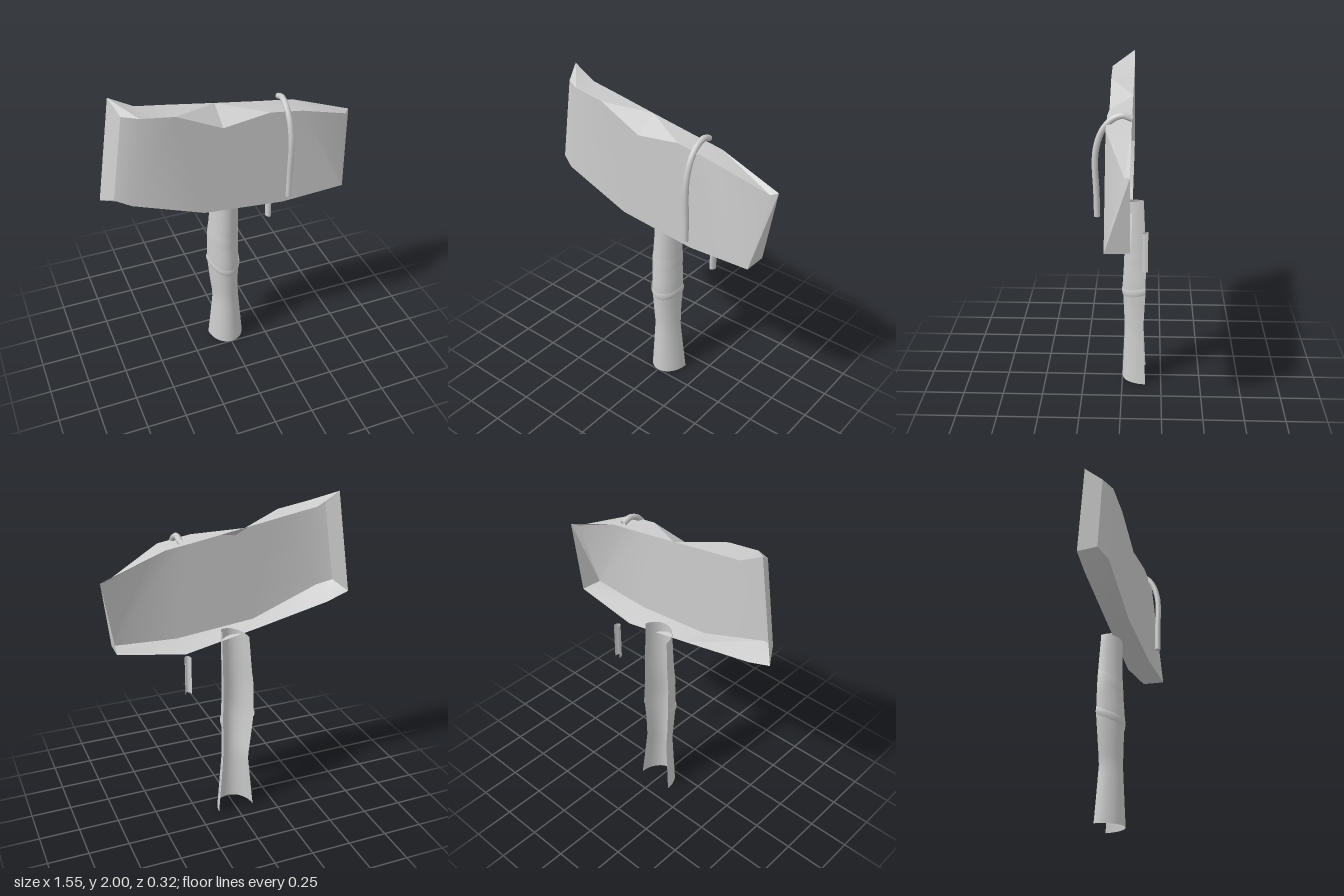
import * as THREE from 'three';
import { toCreasedNormals } from 'three/addons/utils/BufferGeometryUtils.js';

const material = new THREE.MeshStandardMaterial({ color: 0xcccccc, side: THREE.DoubleSide });

function addMesh(parent, name, geometry) {
  const mesh = new THREE.Mesh(geometry, material);
  mesh.name = name;
  parent.add(mesh);
  return mesh;
}

// Surface over a grid: u across (columns), v up (rows)
function gridSurface(cols, rows, point) {
  const pos = [], idx = [];
  for (let j = 0; j <= rows; j++)
    for (let i = 0; i <= cols; i++) pos.push(...point(i / cols, j / rows));
  for (let j = 0; j < rows; j++)
    for (let i = 0; i < cols; i++) {
      const a = j * (cols + 1) + i, b = a + 1, c = a + cols + 1, d = c + 1;
      idx.push(a, b, d, a, d, c);
    }
  const g = new THREE.BufferGeometry();
  g.setAttribute('position', new THREE.Float32BufferAttribute(pos, 3));
  g.setIndex(idx);
  g.computeVertexNormals();
  return g;
}

// Board: chipped front face and bevelled rim, hollow behind
function boardGeometry() {
  const back = -0.06;
  // front x, y, z, then rear x, y; clockwise from the top left corner
  const rim = [
    [-0.64, 1.93, 0.04, -0.68, 2.0],
    [-0.55, 1.92, 0.08, -0.54, 1.92],
    [-0.35, 1.89, 0.08, -0.35, 1.89],
    [-0.08, 1.76, 0.08, -0.08, 1.845],
    [0.2, 1.8, 0.08, 0.2, 1.8],
    [0.4, 1.77, 0.08, 0.4, 1.77],
    [0.74, 1.62, -0.03, 0.775, 1.63],
    [0.7, 1.18, 0.08, 0.705, 1.185],
    [0.3, 1.16, 0.08, 0.29, 1.115],
    [-0.2, 1.21, 0.08, -0.18, 1.21],
    [-0.63, 1.375, 0.08, -0.64, 1.31],
    [-0.72, 1.41, 0.04, -0.78, 1.36],
  ];
  const n = rim.length;
  const pos = [
    ...rim.flatMap(([x, y, z]) => [x, y, z]),
    ...rim.flatMap((p) => [p[3], p[4], back]),
  ];
  // front face
  const idx = [
    0, 11, 10, 0, 10, 1, 1, 10, 2, 2, 10, 9, 2, 9, 3,
    3, 9, 8, 3, 8, 4, 4, 8, 7, 4, 7, 5, 5, 7, 6,
  ];
  // rim
  for (let i = 0; i < n; i++) {
    const k = (i + 1) % n, bi = i + n, bk = k + n;
    if (i === 2) idx.push(i, k, bk, i, bk, bi);
    else idx.push(i, k, bi, k, bk, bi);
  }
  const g = new THREE.BufferGeometry();
  g.setAttribute('position', new THREE.Float32BufferAttribute(pos, 3));
  g.setIndex(idx);
  return toCreasedNormals(g, 0.5);
}

// Post cross-sections: y, left x, right x, front z, rear z
const sections = [
  [0, -0.115, 0.12, 0, -0.15],
  [0.15, -0.102, 0.105, -0.006, -0.142],
  [0.36, -0.085, 0.085, -0.014, -0.132],
  [0.5, -0.1, 0.083, -0.008, -0.138],
  [0.66, -0.113, 0.09, 0.0, -0.146],
  [0.85, -0.113, 0.084, -0.012, -0.142],
  [1.0, -0.1, 0.085, -0.016, -0.137],
  [1.25, -0.083, 0.085, -0.02, -0.125],
];

function postSection(y) {
  let i = 0;
  while (i < sections.length - 2 && y > sections[i + 1][0]) i++;
  const a = sections[i], b = sections[i + 1];
  const t = (y - a[0]) / (b[0] - a[0]);
  return a.map((v, k) => v + (b[k] - v) * t);
}

// Point on the half-round post; u runs from the -x edge to the +x edge
function postPoint(u, y, swell = 0) {
  const [, x0, x1, front, rear] = postSection(y);
  const a = (u - 0.5) * Math.PI;
  const x = (x0 + x1) / 2 + Math.sin(a) * ((x1 - x0) / 2 + swell);
  const z = rear + Math.cos(a) * (front - rear + swell);
  return [x, y, z];
}

export function createModel() {
  const model = new THREE.Group();
  model.name = 'signpost';

  addMesh(model, 'board', boardGeometry());

  // Post: open at the back, with a slanted top edge
  addMesh(model, 'post', gridSurface(16, 24, (u, v) => postPoint(u, v * (1.19 + 0.06 * u))));

  // Slanted bands wrapped round the post
  const band = (name, y, height, swell) =>
    addMesh(model, name, gridSurface(16, 4, (u, v) => {
      const sag = 0.05 * (2 * u - 1) ** 2 - 0.025 * u;
      const bulge = swell * Math.sin(Math.PI * (0.15 + 0.7 * v));
      return postPoint(u, y + sag + (v - 0.5) * height, bulge);
    }));
  band('lowerBand', 0.63, 0.05, 0.007);
  band('upperBand', 0.86, 0.08, 0.002);

  // Hook bent over the top of the board
  const hookX = 0.31;
  const path = new THREE.CatmullRomCurve3(
    [[1.81, -0.062], [1.828, -0.01], [1.805, 0.05], [1.74, 0.105], [1.64, 0.138],
      [1.54, 0.145], [1.4, 0.139], [1.24, 0.136]].map(([y, z]) => new THREE.Vector3(hookX, y, z)));
  const hook = new THREE.Group();
  hook.name = 'hook';
  model.add(hook);
  addMesh(hook, 'hookRod', new THREE.TubeGeometry(path, 32, 0.018, 8));
  const tip = addMesh(hook, 'hookTip', new THREE.CircleGeometry(0.018, 8));
  tip.rotation.x = Math.PI / 2;
  tip.position.set(hookX, 1.24, 0.136);

  // Loose end behind the board: half-round, open at the back
  const end = addMesh(model, 'rearRod',
    new THREE.CylinderGeometry(0.019, 0.019, 0.24, 6, 1, true, -Math.PI / 2, Math.PI));
  end.scale.z = 1.8;
  end.position.set(hookX, 1.017, -0.157);

  return model;
}
